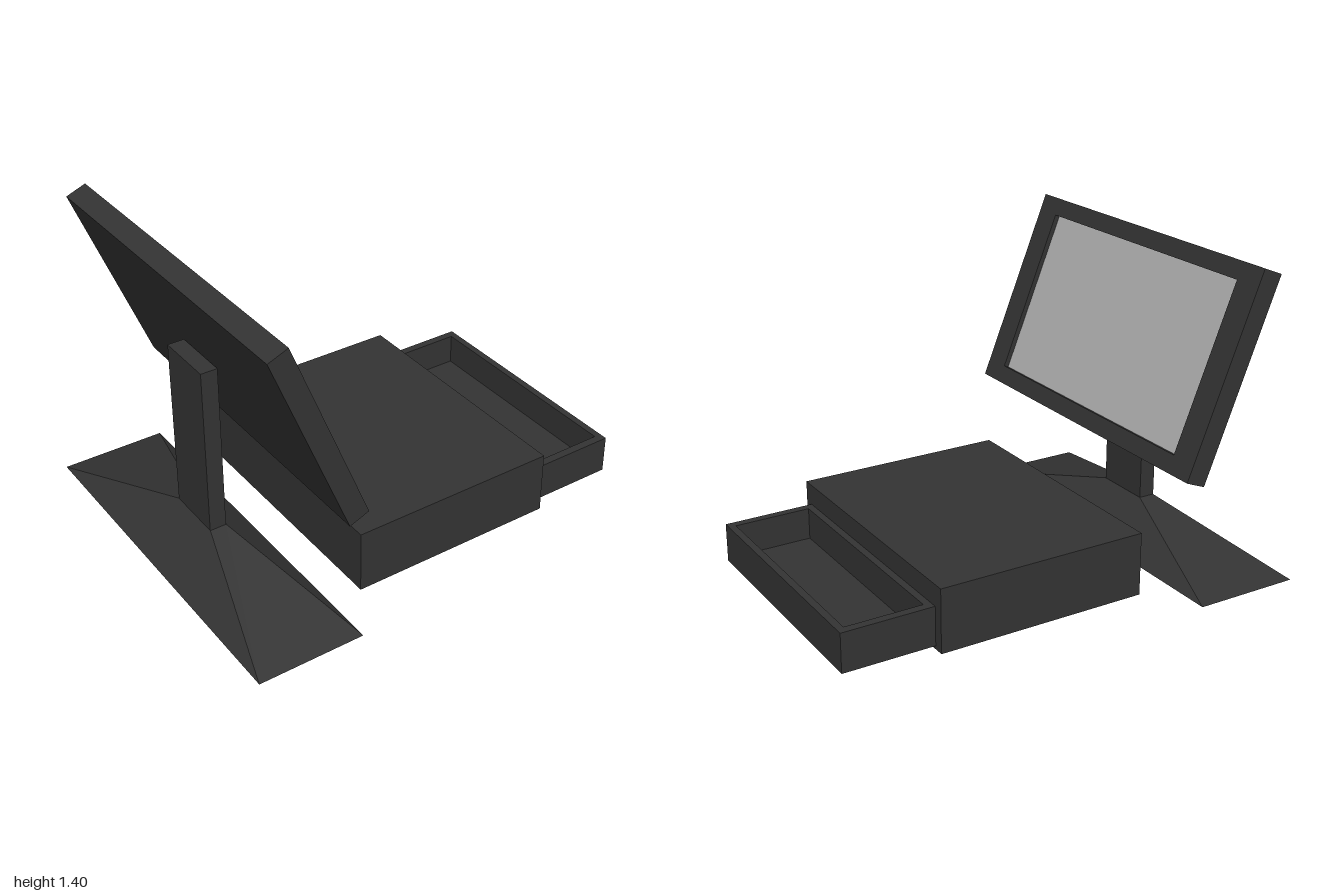
import * as THREE from 'three';

const dark = new THREE.MeshStandardMaterial({ color: 0x333333 });
const glass = new THREE.MeshStandardMaterial({ color: 0xb0b0b0 });

function mesh(name, geometry, material = dark) {
  const m = new THREE.Mesh(geometry, material);
  m.name = name;
  return m;
}

// Box given by its minimum and maximum corners
function box(name, [x0, y0, z0], [x1, y1, z1]) {
  const m = mesh(name, new THREE.BoxGeometry(x1 - x0, y1 - y0, z1 - z0));
  m.position.set((x0 + x1) / 2, (y0 + y1) / 2, (z0 + z1) / 2);
  return m;
}

// Rectangular ring in the XY plane, extruded towards +z
function ring(w, h, holeW, holeH, depth) {
  const rect = (C, a, b) => new C([[-a, -b], [a, -b], [a, b], [-a, b]]
    .map(([x, y]) => new THREE.Vector2(x / 2, y / 2)));
  const shape = rect(THREE.Shape, w, h);
  shape.holes.push(rect(THREE.Path, holeW, holeH));
  return new THREE.ExtrudeGeometry(shape, { depth, bevelEnabled: false });
}

// Stand: wide foot sloping up to a narrow flat post
function createStand() {
  const stand = new THREE.Group();
  stand.name = 'stand';
  const y0 = 0.005, y1 = 0.185;
  const foot = new THREE.BoxGeometry(1, 1, 1);
  const p = foot.attributes.position;
  for (let i = 0; i < p.count; i++) {
    const top = p.getY(i) > 0;
    const [cx, w, d] = top ? [-0.757, 0.075, 0.266] : [-0.76, 0.48, 1.69];
    p.setXYZ(i, cx + p.getX(i) * w, top ? y1 : y0, p.getZ(i) * d);
  }
  foot.computeVertexNormals();
  stand.add(mesh('standFoot', foot));
  stand.add(box('standPost', [-0.795, y1, -0.133], [-0.72, 0.95, 0.133]));
  return stand;
}

// Monitor: back housing, raised bezel and recessed screen, tilted back
function createMonitor() {
  const monitor = new THREE.Group();
  monitor.name = 'monitor';
  const w = 1.57, h = 0.911, t = 0.095, recess = 0.025;
  const housing = mesh('monitorHousing', new THREE.BoxGeometry(w, h, t - recess));
  housing.position.z = -recess / 2;
  const bezel = mesh('monitorBezel', ring(w, h, 1.31, 0.754, recess));
  bezel.position.z = t / 2 - recess;
  const screen = mesh('screen', new THREE.PlaneGeometry(1.31, 0.754), glass);
  screen.position.z = t / 2 - recess + 0.002;
  monitor.add(housing, bezel, screen);
  monitor.position.set(-0.668, 0.96, 0);
  monitor.rotation.set(0, Math.PI / 2, 0.382, 'ZYX');
  return monitor;
}

// Cash drawer: closed cabinet with an open tray pulled out of it
function createCashDrawer() {
  const unit = new THREE.Group();
  unit.name = 'cashDrawer';
  unit.add(box('cabinet', [-0.37, 0, -0.61], [0.59, 0.285, 0.61]));
  const floorY = 0.045;
  unit.add(box('trayFloor', [0.59, 0.015, -0.565], [1, floorY, 0.565]));
  const walls = mesh('trayWalls', ring(0.41, 1.13, 0.345, 1.055, 0.19 - floorY));
  walls.rotation.x = -Math.PI / 2;
  walls.position.set(0.795, floorY, 0);
  unit.add(walls);
  return unit;
}

export function createModel() {
  const model = new THREE.Group();
  model.name = 'pointOfSaleTerminal';
  model.add(createStand(), createMonitor(), createCashDrawer());
  return model;
}
